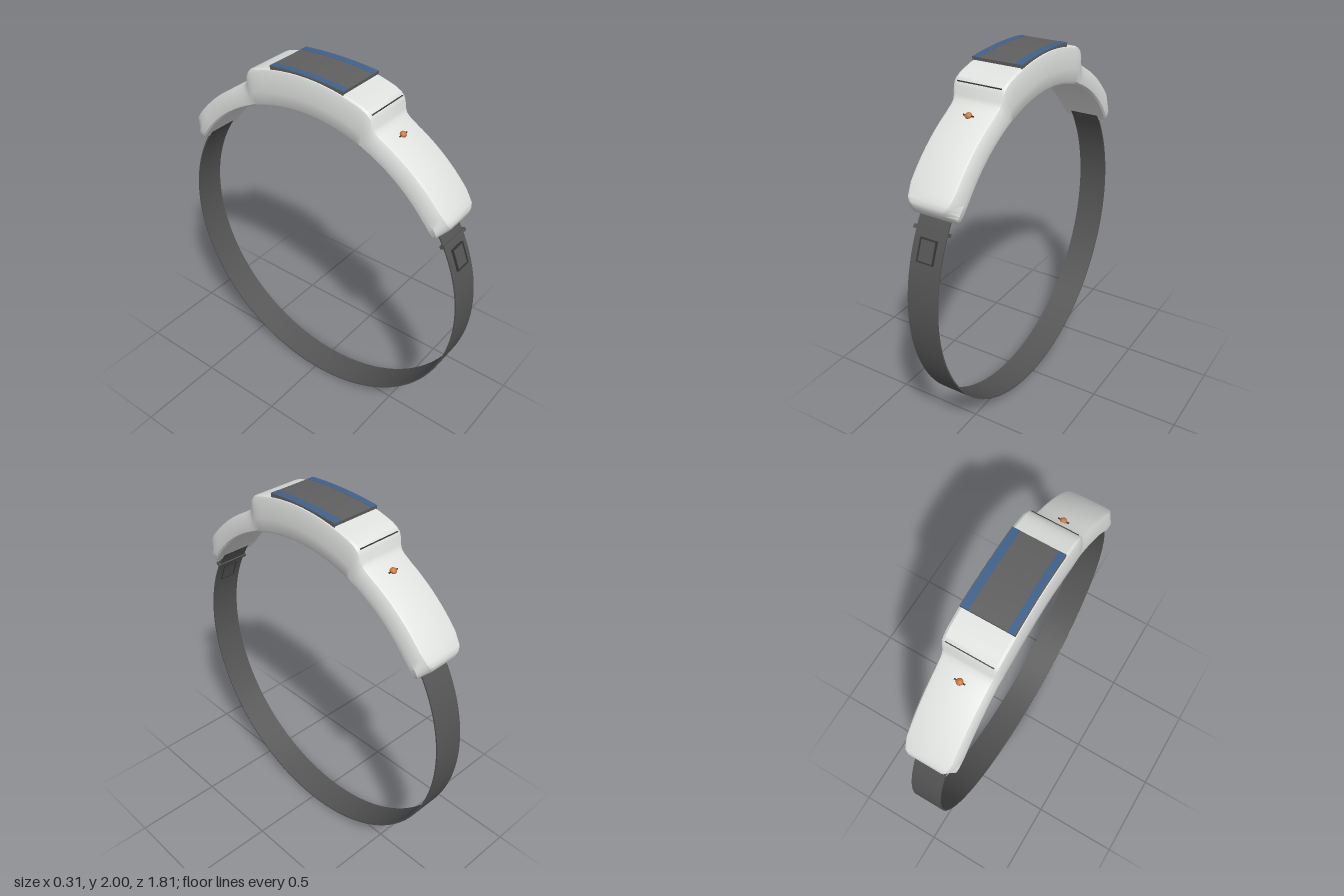
import * as THREE from 'three';
import { toCreasedNormals } from 'three/addons/utils/BufferGeometryUtils.js';

const CY = 0.903; // centre height of the band
const RAD = Math.PI / 180;

const mat = (name, color) => {
  const m = new THREE.MeshStandardMaterial({ color });
  m.name = name;
  return m;
};

// Sweeps a counter-clockwise (x, radius) section along an arc about the x axis.
// Angles are in degrees from the top, positive towards the front.
function sweep(sectionAt, angles, cy = CY) {
  const pos = [], index = [];
  let n = 0;
  for (const a of angles) {
    const section = sectionAt(a);
    n = section.length;
    for (const [x, r] of section) pos.push(x, cy + r * Math.cos(a * RAD), r * Math.sin(a * RAD));
  }
  for (let i = 0; i < angles.length - 1; i++) {
    for (let j = 0; j < n; j++) {
      const a = i * n + j, b = i * n + (j + 1) % n;
      index.push(a, b, b + n, a, b + n, a + n);
    }
  }
  const last = (angles.length - 1) * n;
  for (let j = 1; j < n - 1; j++) {
    index.push(0, j + 1, j);
    index.push(last, last + j, last + j + 1);
  }
  const g = new THREE.BufferGeometry();
  g.setAttribute('position', new THREE.Float32BufferAttribute(pos, 3));
  g.setIndex(index);
  return toCreasedNormals(g, 0.55);
}

const range = (a, b, n) => Array.from({ length: n + 1 }, (_, i) => a + (b - a) * i / n);
const rect = (x0, x1, r0, r1) => () => [[x0, r0], [x1, r0], [x1, r1], [x0, r1]];

// Housing stations: angle, outer radius, half width at the bulge, half width at the shoulder
const STATIONS = [
  [0, 1.092, 0.157, 0.148], [17.5, 1.091, 0.157, 0.148], [19.3, 1.086, 0.156, 0.147],
  [20.4, 1.077, 0.155, 0.146], [21.4, 1.06, 0.154, 0.143], [22.6, 1.028, 0.152, 0.138],
  [23.5, 1.014, 0.151, 0.135], [25, 1.007, 0.15, 0.133], [28, 1.003, 0.15, 0.132],
  [50, 1.003, 0.15, 0.13], [54, 1.003, 0.147, 0.118], [55.3, 0.996, 0.143, 0.105],
  [56.3, 0.98, 0.139, 0.092], [57, 0.95, 0.132, 0.08], [57.4, 0.91, 0.122, 0.075],
];

function stationAt(angle) {
  const a = Math.abs(angle);
  let i = 1;
  while (i < STATIONS.length - 1 && STATIONS[i][0] < a) i++;
  const p = STATIONS[i - 1], q = STATIONS[i];
  const t = (a - p[0]) / (q[0] - p[0]);
  return p.map((v, k) => v + (q[k] - v) * t);
}

function housingSection(angle) {
  const [, ro, wm, wo] = stationAt(angle);
  const ri = 0.895, h = ro - ri;
  const right = [
    [wm - 0.014, ri], [wm - 0.004, ri + 0.08 * h], [wm, ri + 0.4 * h],
    [wo + 0.003, ri + 0.85 * h], [wo - 0.004, ri + 0.96 * h], [wo - 0.016, ro],
  ];
  const left = right.map(([x, r]) => [-x, r]).reverse();
  return [[0, ri], ...right, [0, ro], ...left];
}

function housingAngles() {
  const half = [];
  for (let i = 0; i < STATIONS.length - 1; i++) {
    const a = STATIONS[i][0], b = STATIONS[i + 1][0];
    half.push(...range(a, b, Math.ceil((b - a) / 2)).slice(0, -1));
  }
  half.push(STATIONS[STATIONS.length - 1][0]);
  return [...half.slice(1).reverse().map(a => -a), ...half];
}

export function createModel() {
  const white = mat('shellWhite', 0xe0e2e0);
  const dark = mat('strapGrey', 0x555555);
  const screenGrey = mat('screenGrey', 0x606060);
  const blue = mat('screenBlue', 0x3f628c);
  const orange = mat('lampOrange', 0xc87840);
  const black = mat('detailBlack', 0x383838);

  const model = new THREE.Group();
  model.name = 'wristband';
  const add = (name, geometry, material, parent = model) => {
    const m = new THREE.Mesh(geometry, material);
    m.name = name;
    parent.add(m);
    return m;
  };
  // Group standing on the band at a given angle, its y axis pointing outward
  const mount = (name, angle, radius) => {
    const g = new THREE.Group();
    g.name = name;
    g.position.set(0, CY + radius * Math.cos(angle * RAD), radius * Math.sin(angle * RAD));
    g.rotation.x = angle * RAD;
    model.add(g);
    return g;
  };

  // Main bodies
  add('housing', sweep(housingSection, housingAngles()), white);
  add('strap', sweep(rect(-0.087, 0.087, 0.895, 0.903), range(55, 305, 120)), dark);

  // Gently curved display with a blue strip along each side
  const R = 2.2, edge = 5.85;
  add('screen', sweep(rect(-0.14, 0.14, R - 0.03, R - 0.001), range(-edge, edge, 20), 2 - R), screenGrey);
  for (const [x0, x1] of [[-0.136, -0.102], [0.096, 0.136]]) {
    add('screenStrip', sweep(rect(x0, x1, R - 0.004, R), range(-edge, edge, 20), 2 - R), blue);
  }

  // Lamps and seams on both slopes
  for (const s of [1, -1]) {
    const lamp = mount('lamp', s * 27.9, 1.006);
    add('lampBulb', new THREE.SphereGeometry(0.018, 16, 10), orange, lamp).scale.y = 0.8;
    add('lampPin', new THREE.BoxGeometry(0.058, 0.006, 0.006), black, lamp);
    const seam = mount('seam', s * 20.4, 1.077);
    add('seamLine', new THREE.BoxGeometry(0.25, 0.004, 0.005), black, seam);
  }

  // Strap keeper loop
  const keeper = mount('keeper', 61.3, 0.903);
  for (const y of [-0.014, 0.01]) {
    add('keeperBar', new THREE.BoxGeometry(0.194, 0.006, 0.018), dark, keeper).position.y = y;
  }
  for (const s of [-1, 1]) {
    add('keeperPost', new THREE.BoxGeometry(0.008, 0.03, 0.018), dark, keeper).position.set(s * 0.093, -0.002, 0);
  }

  // Clasp: raised plate with a rim
  const clasp = mount('clasp', 67.6, 0.903);
  add('claspPlate', new THREE.BoxGeometry(0.086, 0.012, 0.112), dark, clasp);
  for (const s of [-1, 1]) {
    add('claspSide', new THREE.BoxGeometry(0.006, 0.022, 0.118), black, clasp).position.x = s * 0.044;
    add('claspEnd', new THREE.BoxGeometry(0.094, 0.022, 0.006), black, clasp).position.z = s * 0.056;
  }
  return model;
}
